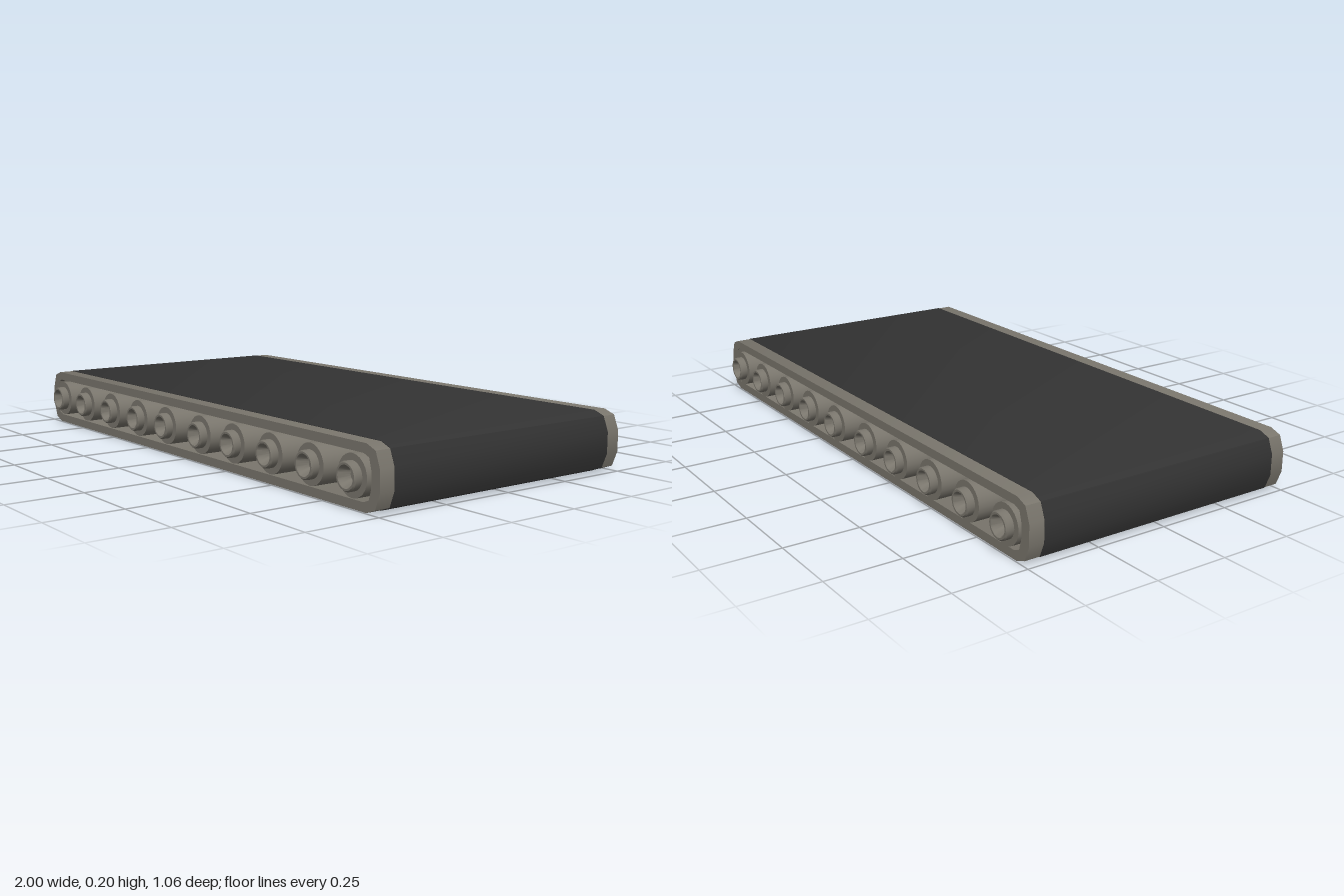
import * as THREE from 'three';
import { toCreasedNormals } from 'three/addons/utils/BufferGeometryUtils.js';

const CENTRE_Y = 0.0985;

// Mirrors one corner (top to side) into a closed loop around the origin
function loop(corner, inset = 0) {
  const c = corner.map(([x, y]) => [x - inset, y - inset]);
  const r = [...c].reverse();
  return [
    ...r.map(([x, y]) => [x, y]),
    ...c.map(([x, y]) => [-x, y]),
    ...r.map(([x, y]) => [-x, -y]),
    ...c.map(([x, y]) => [x, -y]),
  ].map(([x, y]) => new THREE.Vector2(x, y));
}

// Extrudes a hollow loop, centred along z
function ring(outer, inner, depth) {
  const shape = new THREE.Shape(outer);
  shape.holes.push(new THREE.Path(inner));
  const geometry = new THREE.ExtrudeGeometry(shape, { depth, bevelEnabled: false });
  geometry.translate(0, 0, -depth / 2);
  return toCreasedNormals(geometry, 0.5);
}

export function createModel() {
  const model = new THREE.Group();
  model.name = 'conveyor';
  const metal = new THREE.MeshStandardMaterial({ color: 0x7a766d });
  metal.name = 'warm grey metal';
  const rubber = new THREE.MeshStandardMaterial({ color: 0x333333 });
  rubber.name = 'dark rubber';

  const add = (name, geometry, material, x = 0) => {
    const mesh = new THREE.Mesh(geometry, material);
    mesh.name = name;
    mesh.position.set(x, CENTRE_Y, 0);
    model.add(mesh);
  };

  const outer = [[0.943, 0.0985], [0.981, 0.084], [1, 0.035]];
  const inner = [[0.93, 0.069], [0.953, 0.06], [0.963, 0.025]];

  // Hollow carrier loop with the dark belt wrapped around its middle
  add('beltFrame', ring(loop(outer, 0.001), loop(inner), 0.994), metal);
  add('belt', ring(loop(outer), loop(outer, 0.004), 0.89), rubber);

  // Roller with end flanges and hollow, bevelled hubs
  const end = [
    [0, 0.495], [0.019, 0.495], [0.031, 0.526], [0.034, 0.531], [0.04, 0.531],
    [0.044, 0.526], [0.044, 0.505], [0.064, 0.505],
  ];
  const profile = [
    ...end.map(([r, z]) => new THREE.Vector2(r, -z)),
    ...[...end].reverse().map(([r, z]) => new THREE.Vector2(r, z)),
  ];
  const roller = toCreasedNormals(new THREE.LatheGeometry(profile, 24).rotateX(Math.PI / 2), 0.6);
  const stations = [-0.897, -0.704, -0.505, -0.305, -0.111, 0.105, 0.3, 0.5, 0.699, 0.891];
  stations.forEach((x, i) => add(`roller${i + 1}`, roller, metal, x));

  return model;
}
